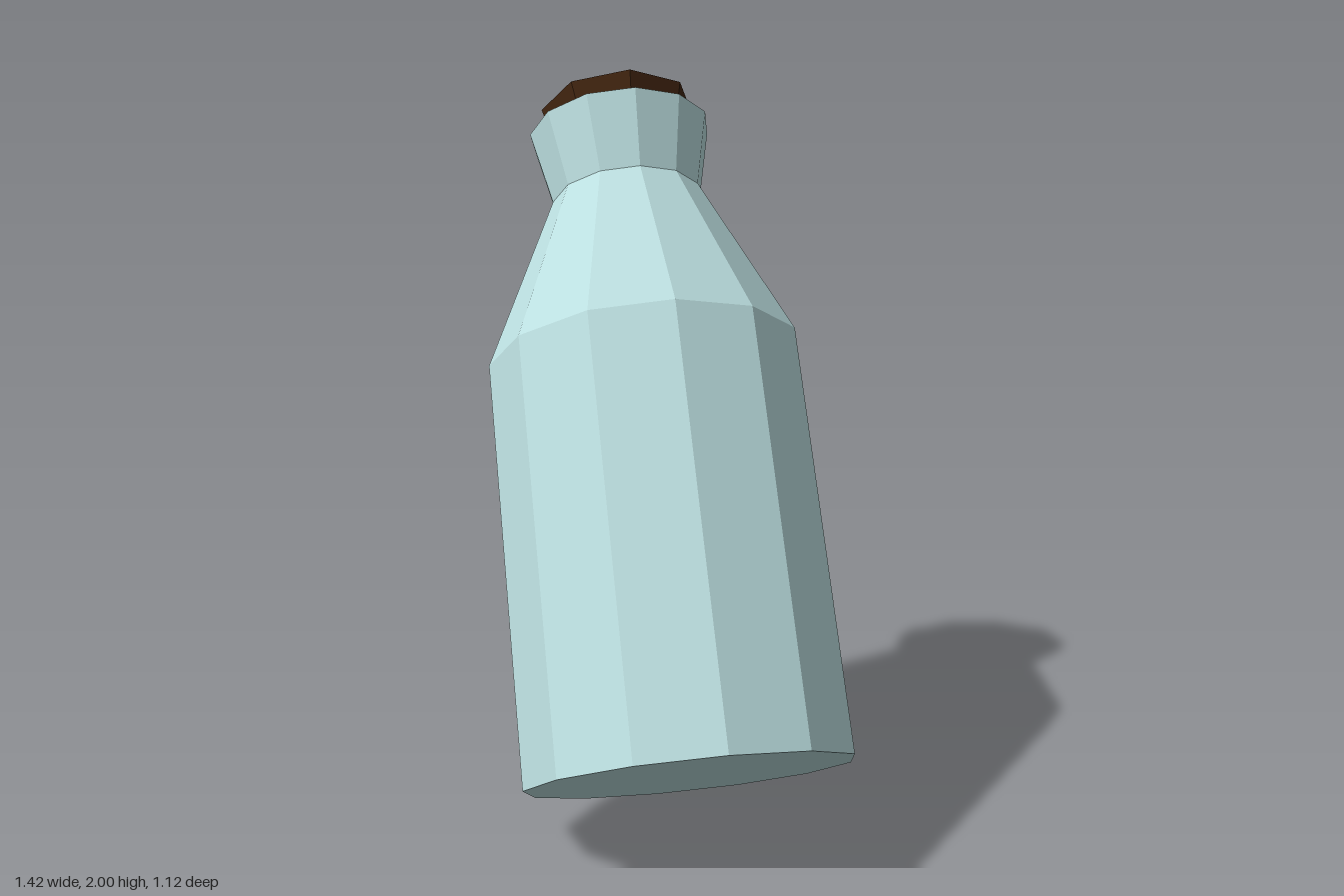
import * as THREE from 'three';

export function createModel() {
  const model = new THREE.Group();
  model.name = 'corkedBottle';

  const glass = new THREE.MeshStandardMaterial({ color: 0xbcdfe0, flatShading: true });
  glass.name = 'pale glass';
  const cork = new THREE.MeshStandardMaterial({ color: 0x422510, flatShading: true });
  cork.name = 'dark cork';

  // Upright bottle, tilted as a whole below
  const bottle = new THREE.Group();
  bottle.name = 'tiltedBottle';
  model.add(bottle);

  // Hollow twelve-sided body: outer wall up, rim, inner wall down
  const profile = [
    [0, 0], [0.432, 0], [0.432, 1.14], [0.214, 1.63], [0.262, 1.845],
    [0.249, 1.845], [0.201, 1.63], [0.419, 1.135], [0.419, 0.015], [0, 0.015],
  ].map(([r, y]) => new THREE.Vector2(r, y));
  const body = new THREE.Mesh(new THREE.LatheGeometry(profile, 12), glass);
  body.name = 'glassBody';
  bottle.add(body);

  // Tapered eight-sided stopper sitting in the mouth
  const depth = 0.3, top = 1.925;
  const stopper = new THREE.Mesh(
    new THREE.CylinderGeometry(0.222, 0.14, depth, 8, 1, false, THREE.MathUtils.degToRad(15)),
    cork,
  );
  stopper.name = 'stopper';
  stopper.position.y = top - depth / 2;
  bottle.add(stopper);

  // Lean about 30 degrees, with one corner of the base facing the side
  const up = new THREE.Vector3(-0.433, 0.868, -0.241).normalize();
  const corner = new THREE.Vector3(0.389, 0.1825, -0.03);
  const side = new THREE.Vector3().crossVectors(up, corner).normalize();
  const front = new THREE.Vector3().crossVectors(side, up);
  bottle.quaternion.setFromRotationMatrix(new THREE.Matrix4().makeBasis(side, up, front));
  bottle.position.set(0.321, 0.2165, 0.14);

  return model;
}
